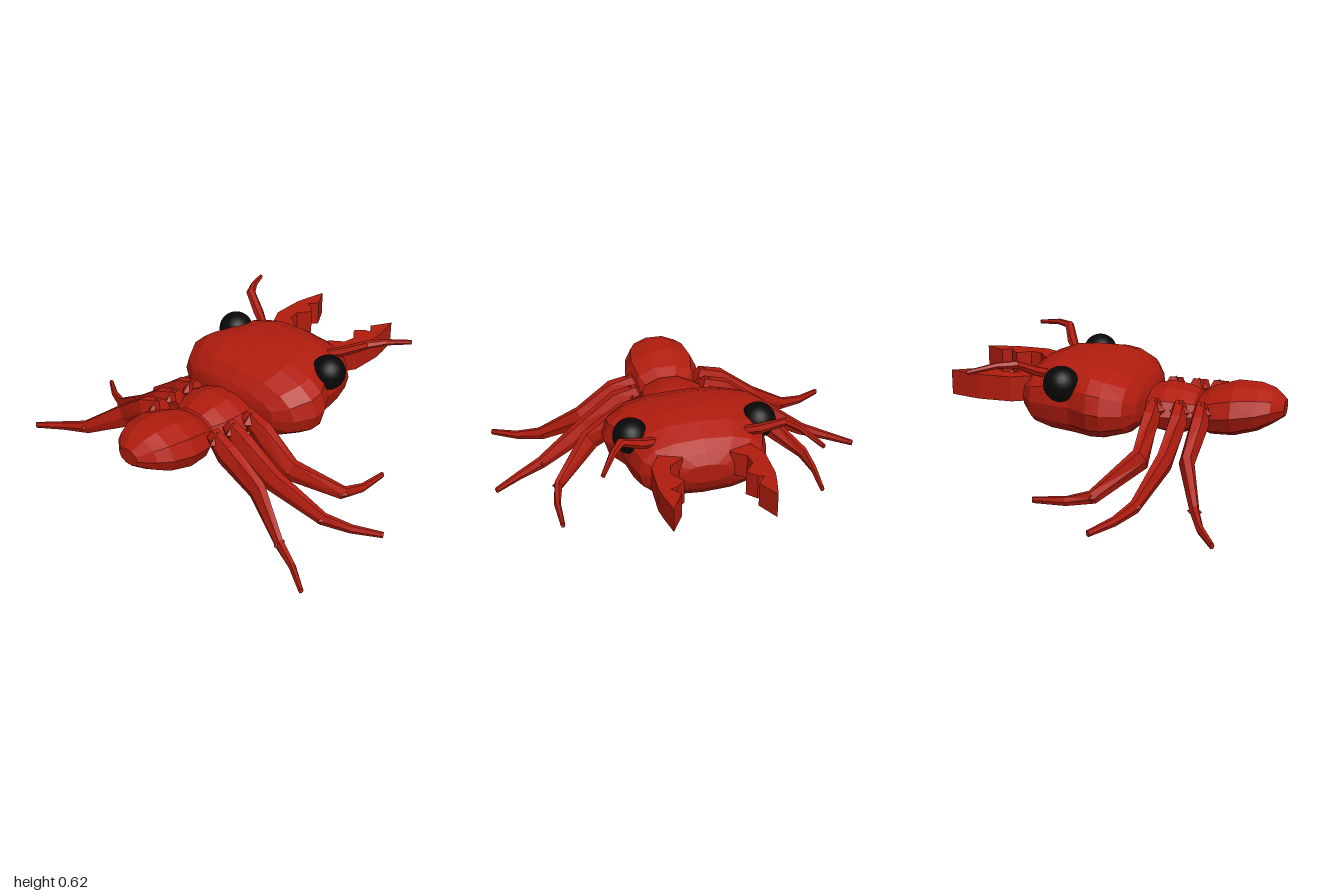
import * as THREE from 'three';

const red = new THREE.MeshStandardMaterial({ color: 0xb01c0e, flatShading: true });
const black = new THREE.MeshStandardMaterial({ color: 0x080808 });

// Closed skin over rings [x, y, z, halfWidth, halfHeight]; dir fixes the ring facing.
function loft(name, rings, sides, { power = 1, dir = null } = {}) {
  const centres = rings.map(r => new THREE.Vector3(r[0], r[1], r[2]));
  const up = new THREE.Vector3(0, 1, 0);
  const pos = [], idx = [];
  rings.forEach((r, i) => {
    const next = centres[Math.min(i + 1, rings.length - 1)];
    const d = dir ?? next.clone().sub(centres[Math.max(i - 1, 0)]).normalize();
    const side = d.clone().cross(up).normalize();
    const rise = side.clone().cross(d);
    for (let j = 0; j < sides; j++) {
      const a = j / sides * Math.PI * 2, c = Math.cos(a), s = Math.sin(a);
      const p = centres[i].clone()
        .addScaledVector(side, r[3] * Math.sign(c) * Math.abs(c) ** power)
        .addScaledVector(rise, r[4] * Math.sign(s) * Math.abs(s) ** power);
      pos.push(p.x, p.y, p.z);
    }
  });
  const last = (rings.length - 1) * sides;
  for (let j = 0; j < sides; j++) {
    const k = (j + 1) % sides;
    for (let o = 0; o < last; o += sides) {
      idx.push(o + j, o + sides + j, o + k, o + k, o + sides + j, o + sides + k);
    }
    if (j > 0 && j < sides - 1) idx.push(0, j, k, last, last + k, last + j);
  }
  const geo = new THREE.BufferGeometry();
  geo.setAttribute('position', new THREE.Float32BufferAttribute(pos, 3));
  geo.setIndex(idx);
  geo.computeVertexNormals();
  const mesh = new THREE.Mesh(geo, red);
  mesh.name = name;
  return mesh;
}

// Body section from profile rows [z, halfWidth, top, bottom], listed rear to front
function body(name, rows, sides, power) {
  const rings = rows.map(([z, w, t, b]) => [0, (t + b) / 2, z, w, (t - b) / 2]);
  return loft(name, rings, sides, { power, dir: new THREE.Vector3(0, 0, -1) });
}

// Faceted joint
function knob(name, x, y, z, r) {
  const mesh = new THREE.Mesh(new THREE.OctahedronGeometry(r), red);
  mesh.name = name;
  mesh.position.set(x, y, z);
  return mesh;
}

function mandible(s) {
  const outline = [[0.1, -0.4], [0.12, -0.47], [0.19, -0.52], [0.2, -0.58], [0.15, -0.645],
    [0.195, -0.69], [0.225, -0.695], [0.185, -0.745], [0.246, -0.85], [0.27, -0.75],
    [0.283, -0.68], [0.28, -0.51], [0.22, -0.4]];
  const shape = new THREE.Shape(outline.map(([x, z]) => new THREE.Vector2(s * x, -z)));
  const geo = new THREE.ExtrudeGeometry(shape, { depth: 0.13, bevelEnabled: false });
  geo.rotateX(-Math.PI / 2).translate(0, 0.365, 0);
  const mesh = new THREE.Mesh(geo, red);
  mesh.name = 'mandible';
  return mesh;
}

// Leg paths from hip to foot
const legs = {
  frontLeg: [[0.17, 0.385, 0.22], [0.28, 0.33, 0.22], [0.47, 0.2, 0.225],
    [0.67, 0.06, 0.045], [0.695, 0.035, -0.08], [0.69, 0.02, -0.25]],
  middleLeg: [[0.17, 0.385, 0.345], [0.28, 0.33, 0.36], [0.47, 0.2, 0.345],
    [0.73, 0.06, 0.27], [0.86, 0.035, 0.21], [0.99, 0.02, 0.125]],
  hindLeg: [[0.17, 0.385, 0.455], [0.28, 0.33, 0.47], [0.47, 0.2, 0.455],
    [0.7, 0.06, 0.55], [0.83, 0.035, 0.605], [0.96, 0.02, 0.69]],
};
const legWidth = [0.035, 0.047, 0.038, 0.023, 0.018, 0.012];
const legHeight = [0.05, 0.075, 0.068, 0.038, 0.025, 0.017];

export function createModel() {
  const model = new THREE.Group();
  model.name = 'ant';

  // Body
  model.add(
    body('abdomen', [[0.85, 0.065, 0.415, 0.33], [0.79, 0.14, 0.462, 0.29],
      [0.72, 0.18, 0.482, 0.25], [0.6, 0.203, 0.483, 0.215], [0.48, 0.18, 0.445, 0.21],
      [0.42, 0.14, 0.41, 0.23], [0.39, 0.07, 0.37, 0.27]], 10, 0.95),
    body('thorax', [[0.44, 0.1, 0.38, 0.26], [0.41, 0.15, 0.42, 0.23],
      [0.34, 0.19, 0.44, 0.205], [0.25, 0.205, 0.45, 0.205], [0.17, 0.19, 0.43, 0.22],
      [0.1, 0.12, 0.4, 0.26]], 10, 0.95),
    body('head', [[0.17, 0.12, 0.42, 0.31], [0.15, 0.29, 0.465, 0.265],
      [0.1, 0.38, 0.525, 0.22], [0.0, 0.438, 0.57, 0.195], [-0.07, 0.437, 0.585, 0.19],
      [-0.18, 0.37, 0.595, 0.185], [-0.3, 0.35, 0.585, 0.195], [-0.4, 0.32, 0.545, 0.225],
      [-0.46, 0.25, 0.5, 0.29], [-0.49, 0.11, 0.45, 0.35]], 16, 0.8),
  );

  for (const s of [1, -1]) {
    // Eyes and jaws
    const eye = new THREE.Mesh(new THREE.SphereGeometry(0.09, 24, 16), black);
    eye.name = 'eye';
    eye.position.set(s * 0.325, 0.497, -0.225);
    model.add(eye, mandible(s));

    // Bent antenna
    model.add(loft('antenna', [[s * 0.19, 0.5, -0.31, 0.02, 0.025],
      [s * 0.3, 0.545, -0.375, 0.028, 0.026], [s * 0.41, 0.605, -0.43, 0.025, 0.02],
      [s * 0.46, 0.605, -0.51, 0.018, 0.016], [s * 0.53, 0.578, -0.64, 0.011, 0.012]], 6));

    // Legs with hip and ankle joints
    for (const [name, path] of Object.entries(legs)) {
      const rings = path.map(([x, y, z], i) => [s * x, y, z, legWidth[i], legHeight[i]]);
      const [, , hipZ] = path[0], [ax, ay, az] = path[3];
      const leg = new THREE.Group();
      leg.name = name;
      leg.add(loft('limb', rings, 6),
        knob('hip', s * 0.215, 0.37, hipZ + 0.01, 0.053),
        knob('ankle', s * ax, ay, az, 0.035));
      model.add(leg);
    }
  }
  return model;
}
